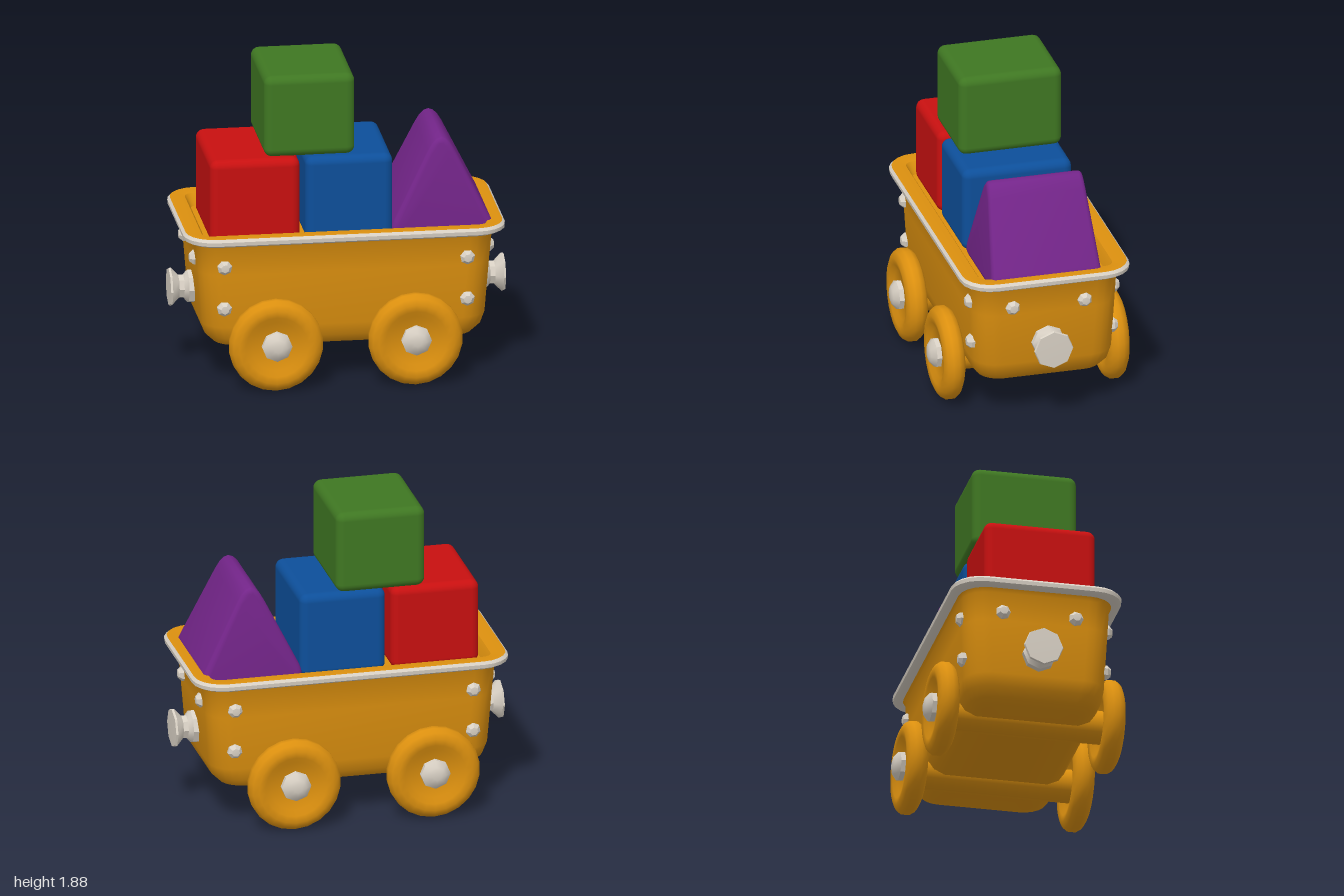
import * as THREE from 'three';
import { toCreasedNormals } from 'three/addons/utils/BufferGeometryUtils.js';
import { RoundedBoxGeometry } from 'three/addons/geometries/RoundedBoxGeometry.js';

const material = (name, color, side = THREE.FrontSide) => {
  const m = new THREE.MeshStandardMaterial({ color, side });
  m.name = name;
  return m;
};

// Skin over rounded rectangles, each given as [halfX, halfZ, y, cornerRadius]
function loft(rings, steps = 5) {
  const pos = [], idx = [], n = 4 * (steps + 1);
  for (const [hx, hz, y, r] of rings) {
    for (let c = 0; c < 4; c++) {
      const sx = c === 0 || c === 3 ? 1 : -1, sz = c < 2 ? 1 : -1;
      for (let s = 0; s <= steps; s++) {
        const a = (c + s / steps) * Math.PI / 2;
        pos.push(sx * (hx - r) + r * Math.cos(a), y, sz * (hz - r) + r * Math.sin(a));
      }
    }
  }
  for (let k = 0; k < rings.length - 1; k++) {
    for (let i = 0; i < n; i++) {
      const a = k * n + i, b = k * n + (i + 1) % n;
      idx.push(a, a + n, b, b, a + n, b + n);
    }
  }
  const g = new THREE.BufferGeometry();
  g.setAttribute('position', new THREE.Float32BufferAttribute(pos, 3));
  g.setIndex(idx);
  return toCreasedNormals(g, 0.75);
}

const lathe = (points, sides, crease = 0.8) => toCreasedNormals(
  new THREE.LatheGeometry(points.map(p => new THREE.Vector2(...p)), sides), crease);

export function createModel() {
  const model = new THREE.Group();
  model.name = 'toyWagon';
  const orange = material('orange', 0xdc900f);
  const white = material('offWhite', 0xd8d0c4);
  const red = material('red', 0xc81010);
  const blue = material('blue', 0x0d4f9a);
  const green = material('green', 0x3f7722);
  const purple = material('purple', 0x74258a);

  const add = (name, geometry, mat, x = 0, y = 0, z = 0) => {
    const mesh = new THREE.Mesh(geometry, mat);
    mesh.name = name;
    mesh.position.set(x, y, z);
    model.add(mesh);
    return mesh;
  };
  // Turns a lathed part so that its axis points along dir
  const aim = (mesh, x, y, z) => mesh.quaternion.setFromUnitVectors(
    new THREE.Vector3(0, 1, 0), new THREE.Vector3(x, y, z));

  // Tub with rounded underside
  add('tub', loft([
    [0, 0, 0.22, 0], [0.70, 0.31, 0.22, 0.1], [0.77, 0.375, 0.245, 0.13],
    [0.82, 0.41, 0.295, 0.15], [0.845, 0.425, 0.37, 0.15],
    [0.87, 0.44, 0.7, 0.15], [0.885, 0.447, 0.87, 0.15], [0.90, 0.46, 0.895, 0.16],
  ]), orange);

  // White edge band around the lip
  add('rimBand', loft([
    [0.885, 0.447, 0.895, 0.15], [0.935, 0.492, 0.892, 0.17], [0.955, 0.512, 0.905, 0.18],
    [0.957, 0.514, 0.928, 0.18], [0.942, 0.5, 0.944, 0.17],
  ]), white);

  // Flat top of the lip, stepping down to the shallow tray
  add('tray', loft([
    [0.942, 0.5, 0.944, 0.17], [0.92, 0.48, 0.946, 0.15], [0.85, 0.41, 0.938, 0.06],
    [0.835, 0.395, 0.915, 0.05], [0.815, 0.375, 0.87, 0.04], [0, 0, 0.87, 0],
  ]), orange);

  // Cube blocks
  const cube = (name, mat, w, h, d, x, y, z) =>
    add(name, new RoundedBoxGeometry(w, h, d, 3, 0.05), mat, x, y, z);
  cube('redBlock', red, 0.535, 0.52, 0.67, -0.53, 1.12, 0.025);
  cube('blueBlock', blue, 0.52, 0.52, 0.67, 0.03, 1.12, 0.025);
  cube('greenBlock', green, 0.54, 0.5, 0.63, -0.2, 1.625, 0.005);

  // Triangular block with softened corners and ends leaning inward
  const tri = new THREE.Shape();
  tri.moveTo(-0.24, 0);
  tri.lineTo(0.24, 0);
  tri.quadraticCurveTo(0.335, 0, 0.285, 0.1);
  tri.lineTo(0.08, 0.51);
  tri.quadraticCurveTo(0, 0.67, -0.08, 0.51);
  tri.lineTo(-0.285, 0.1);
  tri.quadraticCurveTo(-0.335, 0, -0.24, 0);
  const prism = new THREE.ExtrudeGeometry(tri, {
    depth: 0.62, curveSegments: 6, bevelThickness: 0.03, bevelSize: 0.03,
    bevelOffset: -0.03, bevelSegments: 3,
  });
  prism.translate(0, 0, -0.31);
  const p = prism.attributes.position;
  for (let i = 0; i < p.count; i++) p.setZ(i, p.getZ(i) * (1 - 0.24 * p.getY(i)));
  prism.deleteAttribute('normal');
  add('triangleBlock', toCreasedNormals(prism, 0.7), purple, 0.585, 0.86, 0.01);

  // Wheels with hub caps
  const half = [[0, 0.035], [0.15, 0.04], [0.185, 0.06], [0.225, 0.065], [0.26, 0.048], [0.28, 0.018]];
  const wheel = lathe([...half.map(([r, y]) => [r, -y]), ...half.slice().reverse()], 22);
  const hub = lathe([[0.09, 0], [0.09, 0.045], [0.055, 0.075], [0.025, 0.083], [0, 0.083]], 8, 0.6);
  for (const [side, z, xs] of [['front', 0.505, [-0.43, 0.4]], ['back', -0.505, [-0.465, 0.38]]]) {
    for (const x of xs) {
      const dir = Math.sign(z), end = x > 0 ? 'Left' : 'Right';
      aim(add(side + end + 'Wheel', wheel, orange, x, 0.28, z), 0, 0, dir);
      aim(add(side + end + 'HubCap', hub, white, x, 0.285, z + dir * 0.022), 0, 0, dir);
    }
  }

  // Axles
  for (const x of [-0.447, 0.39]) {
    const axle = add(x > 0 ? 'leftAxle' : 'rightAxle',
      new THREE.CylinderGeometry(0.1, 0.1, 0.95, 14), orange, x, 0.262, 0);
    axle.rotation.x = Math.PI / 2;
  }

  // Rivets on the long sides and ends, and a flared knob on each end
  const rivet = lathe([[0.045, -0.03], [0.045, 0.01], [0.025, 0.033], [0, 0.036]], 7, 0.5);
  const knob = lathe([[0.105, -0.05], [0.1, 0.025], [0.072, 0.05], [0.072, 0.08],
    [0.12, 0.125], [0.115, 0.137], [0, 0.14]], 8, 0.6);
  for (const s of [-1, 1]) {
    for (const x of [-0.725, 0.72]) {
      aim(add('upperRivet', rivet, white, x, 0.75, s * 0.437), 0, 0, s);
      aim(add('lowerRivet', rivet, white, x, 0.49, s * 0.428), 0, 0, s);
    }
    for (const z of [-0.22, 0.22]) {
      aim(add('endRivet', rivet, white, s * 0.873, 0.75, z), s, 0, 0);
    }
    aim(add('endKnob', knob, white, s * 0.86, 0.5, 0), s, 0, 0);
  }
  return model;
}
